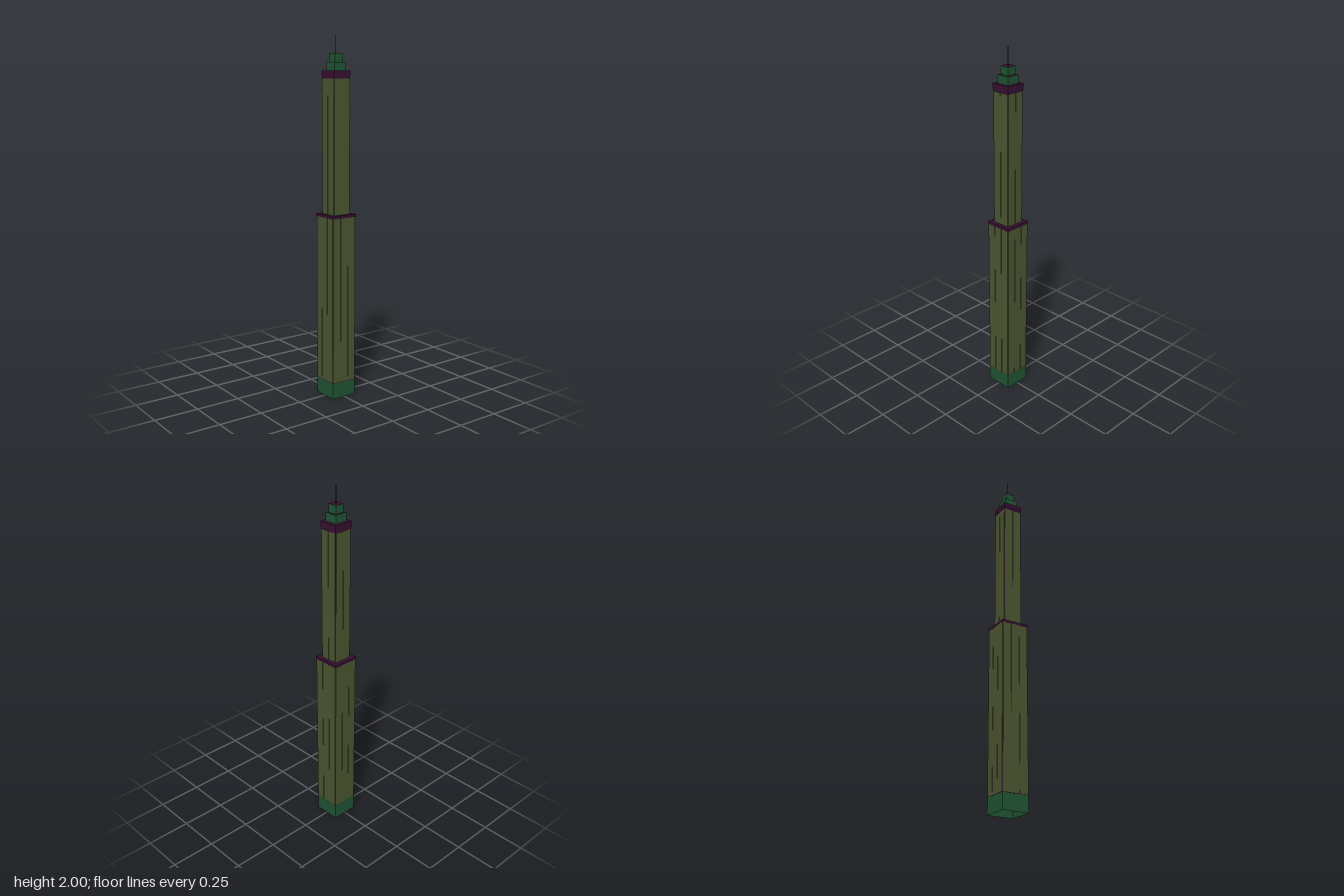
import * as THREE from 'three';

const mat = (color, side = THREE.FrontSide) => new THREE.MeshStandardMaterial({ color, side });

export function createModel() {
  const tower = new THREE.Group();
  tower.name = 'tower';
  const olive = mat(0x4a5430);
  const purple = mat(0x360f30);
  const green = mat(0x1f5232);
  const greenShell = mat(0x1f5232, THREE.DoubleSide);

  // Square block of a given half width between two heights
  function block(name, half, y0, y1, material) {
    const mesh = new THREE.Mesh(new THREE.BoxGeometry(half * 2, y1 - y0, half * 2), material);
    mesh.position.y = (y0 + y1) / 2;
    mesh.name = name;
    tower.add(mesh);
  }

  // Dark core clad on all four faces with slightly raised vertical strips
  function shaft(name, half, y0, y1, strips) {
    const depth = 0.003, gap = 0.002;
    const core = half - depth;
    block(name + 'Core', core, y0, y1, purple);
    const pitch = (core * 2) / strips;
    const geometry = new THREE.BoxGeometry(pitch - gap, y1 - y0, depth);
    for (let side = 0; side < 4; side++) {
      const face = new THREE.Group();
      face.name = name + 'Cladding';
      face.rotation.y = side * Math.PI / 2;
      for (let i = 0; i < strips; i++) {
        const strip = new THREE.Mesh(geometry, olive);
        strip.name = name + 'Strip';
        strip.position.set((i - (strips - 1) / 2) * pitch, (y0 + y1) / 2, core + depth / 2);
        face.add(strip);
      }
      tower.add(face);
    }
  }

  // Lobby walls, open underneath
  for (let side = 0; side < 4; side++) {
    const pivot = new THREE.Group();
    pivot.name = 'lobby';
    pivot.rotation.y = side * Math.PI / 2;
    const wall = new THREE.Mesh(new THREE.PlaneGeometry(0.152, 0.092), greenShell);
    wall.name = 'lobbyWall';
    wall.position.set(0, 0.046, 0.076);
    pivot.add(wall);
    tower.add(pivot);
  }

  // Lower and upper shafts with their roof slabs
  block('lobbyCeiling', 0.0765, 0.089, 0.093, purple);
  shaft('lowerShaft', 0.0775, 0.092, 1.022, 3);
  block('lowerRoof', 0.078, 1.022, 1.037, purple);
  shaft('upperShaft', 0.055, 1.037, 1.77, 2);
  block('upperBand', 0.054, 1.77, 1.783, purple);
  block('upperRoof', 0.056, 1.783, 1.812, purple);

  // Stepped crown: green walls, dark tops
  const crown = [green, green, purple, green, green, green];
  block('crownLower', 0.037, 1.812, 1.857, crown);
  block('crownUpper', 0.026, 1.857, 1.902, crown);

  // Hair-thin mast
  block('mast', 0.001, 1.902, 2, purple);
  return tower;
}
